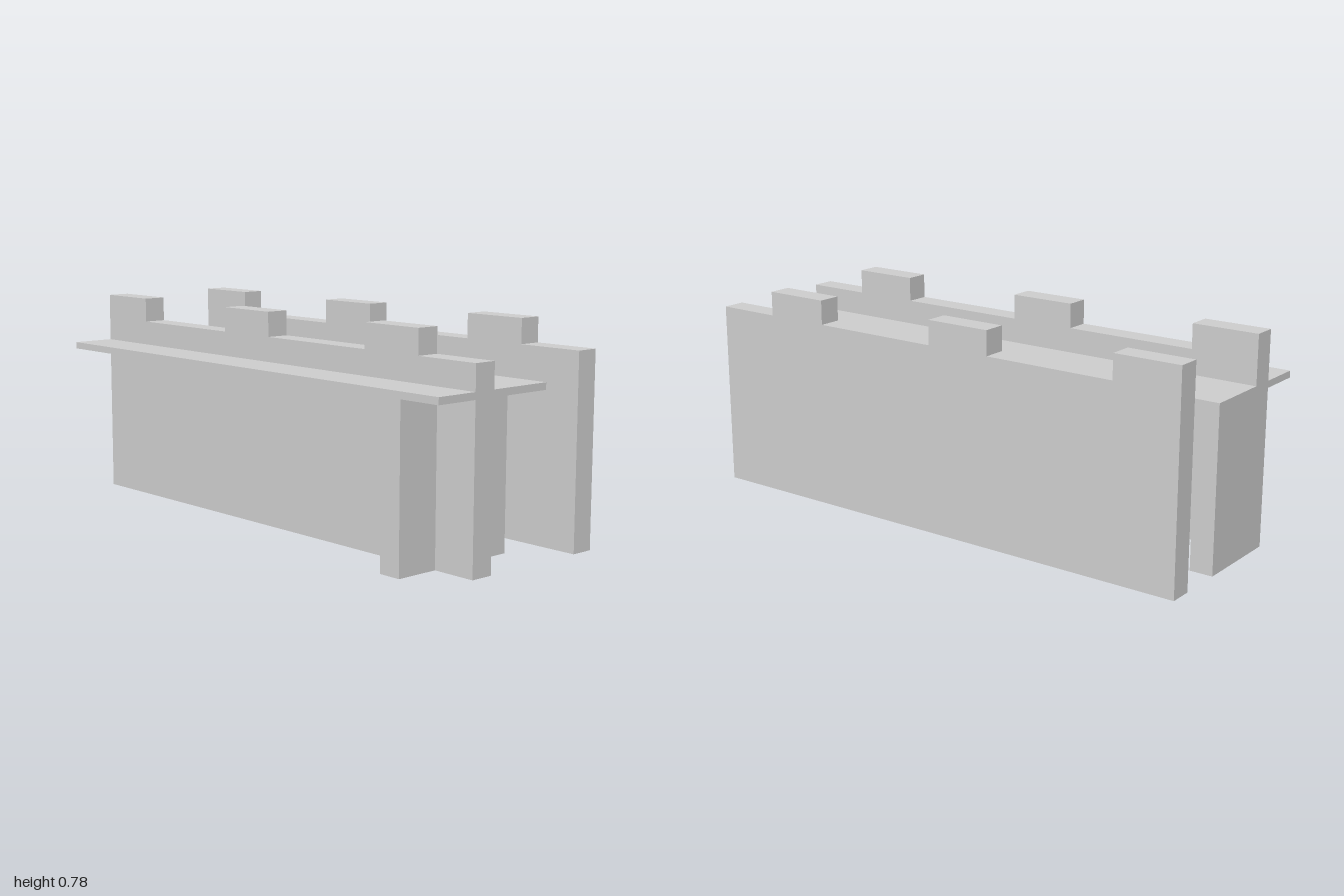
import * as THREE from 'three';

const material = new THREE.MeshStandardMaterial({ color: 0xcccccc, flatShading: true });

const THICK = 0.086;      // thickness of every wall
const FLOOR_BOTTOM = 0.575, FLOOR_TOP = 0.6;
const WALL_TOP = 0.69, MERLON_TOP = 0.78;
const FRONT = 0.375, BACK = -0.125;             // depth range of the walkway
const WALL_BACK = 0.125, WALL_FRONT = WALL_BACK + THICK;
const MERLONS = [[-1, -0.75], [-0.25, 0], [0.5, 0.75]];

// Box given by its ranges on the three axes
function block(name, [x0, x1], [y0, y1], [z0, z1]) {
  const mesh = new THREE.Mesh(new THREE.BoxGeometry(x1 - x0, y1 - y0, z1 - z0), material);
  mesh.position.set((x0 + x1) / 2, (y0 + y1) / 2, (z0 + z1) / 2);
  mesh.name = name;
  return mesh;
}

// Long wall with a notched top, extruded towards +z
function battlementWall(name, z) {
  const points = [new THREE.Vector2(1, 0), new THREE.Vector2(1, WALL_TOP)];
  for (const [x0, x1] of [...MERLONS].reverse()) {
    points.push(new THREE.Vector2(x1, WALL_TOP), new THREE.Vector2(x1, MERLON_TOP), new THREE.Vector2(x0, MERLON_TOP));
    if (x0 > -1) points.push(new THREE.Vector2(x0, WALL_TOP));
  }
  points.push(new THREE.Vector2(-1, 0));
  const geometry = new THREE.ExtrudeGeometry(new THREE.Shape(points), { depth: THICK, bevelEnabled: false });
  const mesh = new THREE.Mesh(geometry, material);
  mesh.position.z = z;
  mesh.name = name;
  return mesh;
}

export function createModel() {
  const model = new THREE.Group();
  model.name = 'battlementWalls';

  // Two parallel crenellated walls
  model.add(battlementWall('frontWall', WALL_BACK), battlementWall('backWall', -0.375));

  // Walkway and cross wall, running out on both sides of the front wall
  const crossX = [0.75, 0.75 + THICK];
  for (const [side, z] of [['front', [WALL_FRONT, FRONT]], ['back', [BACK, WALL_BACK]]]) {
    model.add(
      block(side + 'Walkway', [-1, 1], [FLOOR_BOTTOM, FLOOR_TOP], z),
      block(side + 'CrossWall', crossX, [0, FLOOR_BOTTOM], z),
    );
  }

  // Closing wall at the right end, behind the front wall only
  model.add(block('endWall', [-1, -1 + THICK], [0, FLOOR_BOTTOM], [BACK, WALL_BACK]));

  return model;
}
